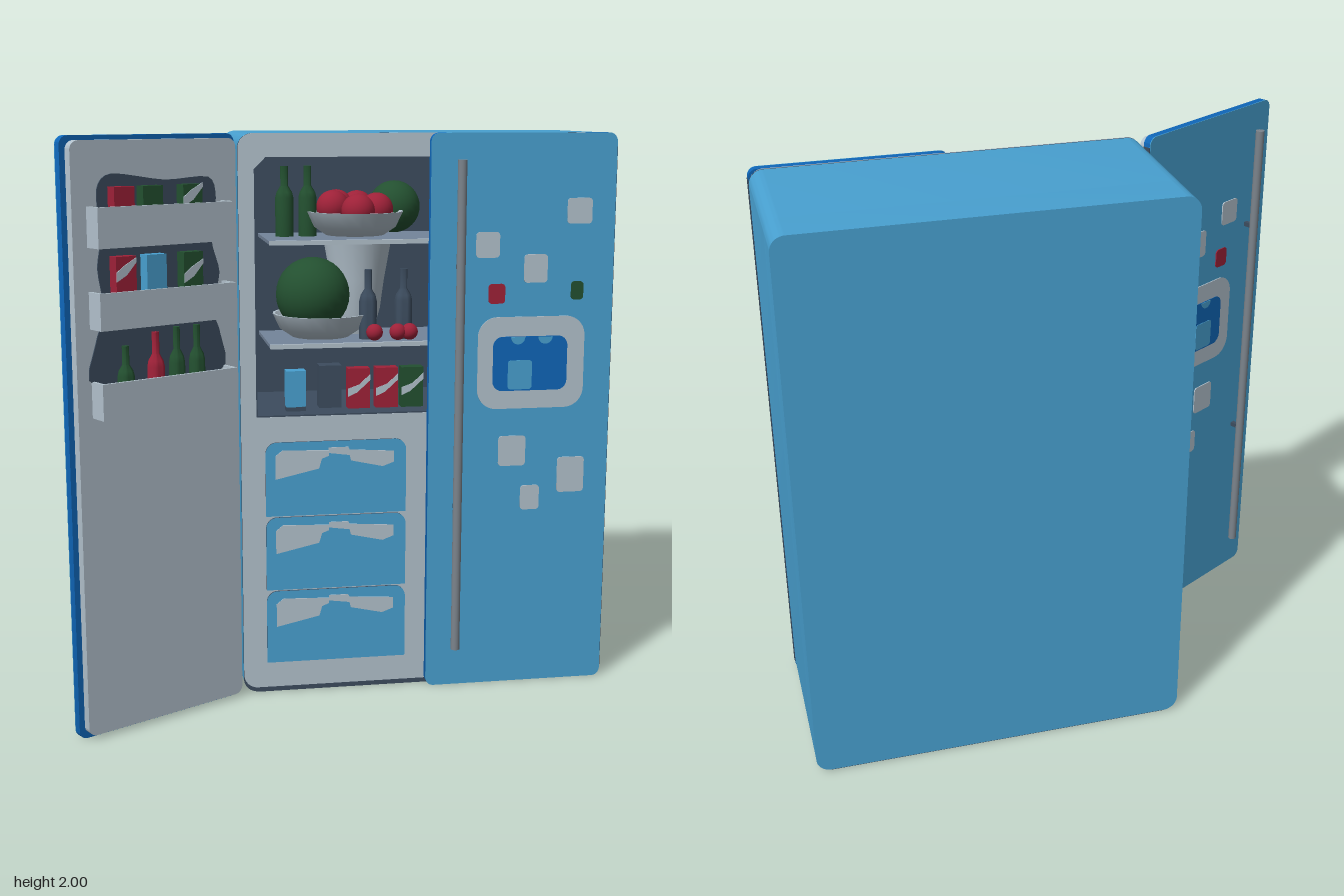
import * as THREE from 'three';
import { toCreasedNormals } from 'three/addons/utils/BufferGeometryUtils.js';

const material = (name, color) => {
  const m = new THREE.MeshStandardMaterial({ color });
  m.name = name;
  return m;
};
const blue = material('sky blue', 0x48a0d0);
const deepBlue = material('deep blue', 0x0f66b8);
const pale = material('pale grey', 0xb2c1cc);
const slate = material('slate', 0x3c4c5e);
const green = material('bottle green', 0x235030);
const red = material('red', 0x9e2138);
const steel = material('steel', 0x7c848c);
const glass = material('shelf glass', 0x74859a);

function add(parent, name, geometry, mat, x = 0, y = 0, z = 0) {
  const mesh = new THREE.Mesh(geometry, mat);
  mesh.name = name;
  mesh.position.set(x, y, z);
  parent.add(mesh);
  return mesh;
}

// Rounded rectangle; radii for the bottom and the top corners
function rect(xa, y0, xb, y1, r = 0.001, rt = r) {
  const x0 = Math.min(xa, xb), x1 = Math.max(xa, xb), s = new THREE.Shape();
  s.moveTo(x0 + r, y0).lineTo(x1 - r, y0);
  s.absarc(x1 - r, y0 + r, r, -Math.PI / 2, 0);
  s.absarc(x1 - rt, y1 - rt, rt, 0, Math.PI / 2);
  s.absarc(x0 + rt, y1 - rt, rt, Math.PI / 2, Math.PI);
  s.absarc(x0 + r, y0 + r, r, Math.PI, Math.PI * 1.5);
  return s;
}
const polygon = (pts) => new THREE.Shape(pts.map(([x, y]) => new THREE.Vector2(x, y)));
const blob = (pts) => new THREE.Shape(new THREE.CatmullRomCurve3(
  pts.map(([x, y]) => new THREE.Vector3(x, y, 0)), true, 'catmullrom', 0.4)
  .getPoints(60).slice(0, -1).map((p) => new THREE.Vector2(p.x, p.y)));

// Shape extruded between two depths
function slab(parent, name, shape, z0, z1, mat) {
  const g = new THREE.ExtrudeGeometry(shape, { depth: z1 - z0, bevelEnabled: false, curveSegments: 6 });
  return add(parent, name, Array.isArray(mat) ? g : toCreasedNormals(g, 0.6), mat, 0, 0, z0);
}
const box = (parent, name, mat, w, h, d, x, y, z) =>
  add(parent, name, new THREE.BoxGeometry(w, h, d), mat, x, y, z);

// Food and containers, each standing on (x, y, z)
const ball = (p, name, mat, r, x, y, z) => add(p, name, new THREE.SphereGeometry(r, 24, 16), mat, x, y, z);
function lathe(p, name, mat, profile, x, y, z) {
  const g = new THREE.LatheGeometry(profile.map(([r, h]) => new THREE.Vector2(r, h)), 20);
  return add(p, name, toCreasedNormals(g, 0.7), mat, x, y, z);
}
const bottle = (p, mat, r, h, x, y, z) => lathe(p, 'bottle', mat, [[0, 0], [r, 0], [r, h * 0.55],
  [r * 0.85, h * 0.63], [r * 0.42, h * 0.72], [r * 0.42, h], [0, h]], x, y, z);
function bowl(p, r, h, x, y, z) {
  lathe(p, 'bowl', pale, [[0, 0], [r * 0.6, 0], [r * 0.85, h * 0.35], [r, h],
    [r * 0.95, h], [r * 0.75, h * 0.4], [0, h * 0.2]], x, y, z);
}
function carton(p, mat, w, h, d, x, y, z, striped) {
  box(p, 'carton', mat, w, h, d, x, y + h / 2, z);
  if (!striped) return;
  const shape = polygon([[-0.5, 0.3], [-0.1, 0.4], [0.5, 0.7], [0.5, 0.85], [0, 0.6], [-0.5, 0.5]]
    .map(([a, b]) => [x + a * w, y + b * h]));
  slab(p, 'cartonStripe', shape, z + d / 2, z + d / 2 + 0.003, pale);
}

// Door with hinge at x = 0, reaching along s, outside facing +z
function makeDoor(name, s) {
  const door = new THREE.Group();
  door.name = name;
  slab(door, 'doorRim', rect(0, 0, s * 0.665, 2, 0.03), 0, 0.027, deepBlue);
  slab(door, 'doorFace', rect(0, 0, s * 0.665, 2, 0.03), 0.027, 0.03, blue);
  box(door, 'hingeStrip', slate, 0.003, 1.93, 0.028, -s * 0.0005, 1, 0.014);

  // Handle and its mounts
  add(door, 'handle', new THREE.CylinderGeometry(0.016, 0.016, 1.76, 16), steel, s * 0.565, 1.03, 0.07);
  for (const y of [0.68, 1.54]) box(door, 'handleMount', slate, 0.016, 0.016, 0.045, s * 0.565, y, 0.05);

  // Dispenser
  slab(door, 'dispenserFrame', rect(s * 0.1, 1.03, s * 0.49, 1.36, 0.07), 0.03, 0.034, pale);
  slab(door, 'dispenserPanel', rect(s * 0.163, 1.095, s * 0.435, 1.29, 0.035), 0.034, 0.036, deepBlue);
  slab(door, 'dispenserTray', rect(s * 0.292, 1.1, s * 0.38, 1.205, 0.012), 0.036, 0.038, blue);
  for (const u of [0.245, 0.345]) {
    const spout = new THREE.Shape();
    spout.absarc(s * u, 1.288, 0.026, Math.PI, Math.PI * 2);
    slab(door, 'dispenserSpout', spout, 0.036, 0.038, blue);
  }

  // Notes and magnets: centre, width, height
  for (const [u, y, w, h, mat] of [
    [0.13, 1.73, 0.09, 0.09, pale], [0.46, 1.615, 0.085, 0.09, pale], [0.285, 1.53, 0.085, 0.1, pale],
    [0.425, 1.443, 0.06, 0.07, red], [0.132, 1.45, 0.045, 0.065, green], [0.358, 0.875, 0.1, 0.11, pale],
    [0.137, 0.78, 0.1, 0.13, pale], [0.288, 0.7, 0.07, 0.09, pale]]) {
    const x = s * u;
    slab(door, 'note', rect(x - w / 2, y - h / 2, x + w / 2, y + h / 2, 0.013), 0.03, 0.034, mat);
  }
  return door;
}

// Inner panel, bins and their contents for the open door
function fillDoor(door) {
  slab(door, 'innerPanel', rect(0.015, 0.015, 0.645, 1.985, 0.03), -0.03, 0, pale);
  const right = [[0.1, 1.2], [0.09, 1.33], [0.12, 1.42], [0.09, 1.54], [0.12, 1.65], [0.1, 1.79], [0.13, 1.86]];
  const left = [[0.5, 1.88], [0.555, 1.83], [0.545, 1.68], [0.56, 1.58], [0.54, 1.44], [0.575, 1.34], [0.575, 1.2]];
  slab(door, 'innerRecess', blob([...right, [0.3, 1.855], ...left]), -0.034, -0.03, slate);
  for (const [y0, y1] of [[1.65, 1.78], [1.39, 1.51], [1.1, 1.22]]) {
    const h = y1 - y0, y = (y0 + y1) / 2;
    box(door, 'binFront', pale, 0.525, h, 0.01, 0.331, y, -0.096);
    for (const x of [0.074, 0.588]) box(door, 'binSide', pale, 0.01, h, 0.062, x, y, -0.061);
    box(door, 'binFloor', slate, 0.505, 0.01, 0.062, 0.331, y0 + 0.006, -0.061);
    box(door, 'binLining', slate, 0.505, h - 0.01, 0.004, 0.331, y, -0.089);
  }
  // Contents face inward, so they sit in a turned group
  const food = new THREE.Group();
  food.name = 'doorFood';
  food.rotation.y = Math.PI;
  door.add(food);
  const items = [[0.482, red, 1.66, 0.18], [0.375, green, 1.66, 0.18], [0.222, green, 1.66, 0.18],
    [0.482, red, 1.4, 0.22], [0.367, blue, 1.4, 0.22], [0.225, green, 1.4, 0.22]];
  for (const [u, mat, y, h] of items) carton(food, mat, 0.075, h, 0.04, -u, y, 0.06, false);
  for (const [u, y] of [[0.225, 1.55], [0.482, 1.57], [0.222, 1.8]]) {
    const x = -u;
    slab(food, 'label', polygon([[x - 0.037, y - 0.03], [x, y - 0.01], [x + 0.037, y + 0.03],
      [x + 0.037, y + 0.045], [x - 0.01, y + 0.02], [x - 0.037, y]]), 0.08, 0.083, pale);
  }
  for (const [u, mat, r, top] of [[0.482, green, 0.028, 1.33], [0.367, red, 0.029, 1.365],
    [0.285, green, 0.027, 1.375], [0.205, green, 0.027, 1.375]]) bottle(food, mat, r, top - 1.11, -u, 1.11, 0.06);
}

export function createModel() {
  const fridge = new THREE.Group();
  fridge.name = 'fridge';

  // Cabinet with a hollow upper compartment
  const outline = () => rect(-0.365, 0.003, 0.965, 2, 0.05);
  const recess = (i) => polygon([[-0.31 + i, 1.02 + i], [0.9 - i, 1.02 + i], [0.9 - i, 1.88 - i],
    [0.86 - i, 1.92 - i], [-0.27 + i, 1.92 - i], [-0.31 + i, 1.88 - i]]);
  const pierced = (shape, hole) => { shape.holes.push(hole); return shape; };
  slab(fridge, 'cabinetBack', outline(), -0.5, -0.35, blue);
  slab(fridge, 'cabinetShell', pierced(outline(), recess(0)), -0.35, 0.1, blue);
  slab(fridge, 'frontPlinth', pierced(outline(), recess(0)), 0.1, 0.105, slate);
  slab(fridge, 'frontFrame', pierced(rect(-0.364, 0.02, 0.964, 2, 0.05), recess(0)), 0.105, 0.11, pale);
  slab(fridge, 'compartmentWalls', pierced(recess(0), recess(0.005)), -0.35, 0.109, slate);
  slab(fridge, 'compartmentBack', recess(0), -0.35, -0.344, slate);
  box(fridge, 'underside', slate, 1.23, 0.006, 0.6, 0.3, 0.003, -0.198);

  // Drawers with pale reflections
  for (let i = 0; i < 3; i++) {
    const y = 0.115 + i * 0.273;
    slab(fridge, 'drawer', rect(-0.28, y, 0.225, y + 0.268, 0.003, 0.04), 0.11, 0.117, [blue, slate]);
    slab(fridge, 'drawerReflection', polygon([[-0.245, y + 0.135], [-0.09, y + 0.17], [-0.08, y + 0.205],
      [-0.055, y + 0.215], [-0.055, y + 0.235], [-0.22, y + 0.24], [-0.245, y + 0.22]]), 0.117, 0.12, pale);
    slab(fridge, 'drawerReflection', polygon([[-0.055, y + 0.225], [0.02, y + 0.215], [0.025, y + 0.195],
      [0.14, y + 0.17], [0.18, y + 0.185], [0.18, y + 0.225], [0.02, y + 0.235], [0.015, y + 0.245],
      [-0.055, y + 0.245]]), 0.117, 0.12, pale);
  }

  // Shelves
  for (const y of [1.265, 1.63]) {
    box(fridge, 'shelf', glass, 1.1, 0.012, 0.36, 0.3, y - 0.008, -0.15);
    box(fridge, 'shelfEdge', pale, 1.1, 0.016, 0.012, 0.3, y - 0.008, 0.034);
  }

  // Upper shelf: bottles, fruit bowl, melon
  for (const x of [-0.172, -0.088]) bottle(fridge, green, 0.033, 0.25, x, 1.63, -0.16);
  bowl(fridge, 0.175, 0.085, 0.08, 1.635, -0.13);
  for (const [x, y, z] of [[0, 1.735, -0.13], [0.08, 1.725, -0.06], [0.16, 1.725, -0.13],
    [0.02, 1.735, -0.18], [0.1, 1.73, -0.2]]) ball(fridge, 'apple', red, 0.06, x, y, z);
  ball(fridge, 'melon', green, 0.095, 0.245, 1.728, -0.235);

  // Middle shelf: bowl with a large melon, jug, bottles, cherries
  bowl(fridge, 0.175, 0.085, -0.045, 1.268, -0.14);
  ball(fridge, 'largeMelon', green, 0.135, -0.07, 1.418, -0.16);
  lathe(fridge, 'jug', pale, [[0, 0], [0.06, 0], [0.085, 0.09], [0.1, 0.2], [0.125, 0.34], [0, 0.34]],
    0.105, 1.267, -0.22);
  for (const x of [0.117, 0.247]) bottle(fridge, slate, 0.032, 0.25, x, 1.265, -0.06);
  for (const x of [0.13, 0.215, 0.258]) ball(fridge, 'tomato', red, 0.03, x, 1.296, 0);

  // Compartment floor: cartons
  carton(fridge, blue, 0.07, 0.13, 0.05, -0.16, 1.04, 0.02, false);
  box(fridge, 'cartonBase', slate, 0.07, 0.02, 0.05, -0.16, 1.032, 0.02);
  carton(fridge, slate, 0.08, 0.155, 0.06, -0.03, 1.024, -0.03, false);
  for (const [x, mat] of [[0.07, red], [0.172, red], [0.265, green]]) {
    carton(fridge, mat, 0.08, 0.145, 0.05, x, 1.025, 0, true);
  }

  // Doors: one closed, one swung open
  const closedDoor = makeDoor('leftDoor', -1);
  closedDoor.position.set(0.965, 0, 0.11);
  const openDoor = makeDoor('rightDoor', 1);
  fillDoor(openDoor);
  openDoor.position.set(-0.376, 0, 0.1);
  openDoor.rotation.y = -Math.PI * 5 / 6;
  fridge.add(closedDoor, openDoor);
  return fridge;
}
